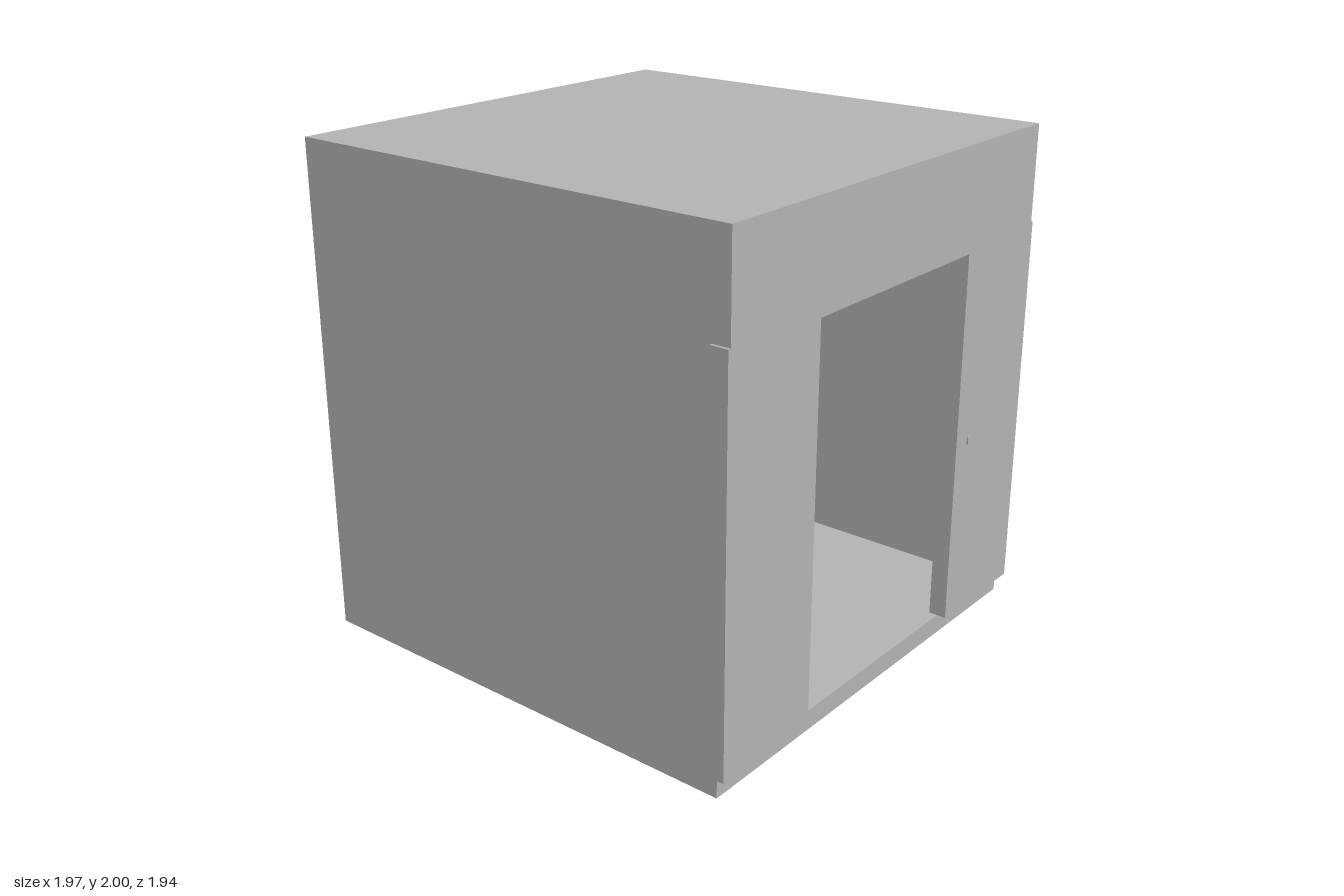
import * as THREE from 'three';

export function createModel() {
  const model = new THREE.Group();
  model.name = 'liftCabin';
  const grey = new THREE.MeshStandardMaterial({ color: 0xb2b2b2 });
  grey.name = 'plain grey';

  // Box given by its lower and upper limits on each axis
  function box(name, [x0, x1], [y0, y1], [z0, z1]) {
    const mesh = new THREE.Mesh(new THREE.BoxGeometry(x1 - x0, y1 - y0, z1 - z0), grey);
    mesh.position.set((x0 + x1) / 2, (y0 + y1) / 2, (z0 + z1) / 2);
    mesh.name = name;
    model.add(mesh);
  }

  const back = -0.985, inner = 0.905, face = 0.977;
  const half = 0.96, halfIn = 0.88;
  const floorTop = 0.08, ceiling = 1.92, doorTop = 1.615;

  // Cabin shell
  box('floor', [back, 0.94], [0, floorTop], [-half, half]);
  box('ceiling', [back, face], [ceiling, 2], [-half, half]);
  box('rearWall', [back, -0.905], [floorTop, ceiling], [-halfIn, halfIn]);

  // Header above the doorway, with a lower lip between the doors
  box('doorHeader', [inner, face], [doorTop, ceiling], [-half, half]);
  box('doorLintel', [inner, face], [1.59, doorTop], [-0.48, 0.48]);

  // Side walls and the open sliding doors
  for (const s of [-1, 1]) {
    const span = (a, b) => (s > 0 ? [a, b] : [-b, -a]);
    const side = s > 0 ? 'left' : 'right';
    box(side + 'Wall', [back, inner], [floorTop, ceiling], span(halfIn, half));
    box(side + 'Door', [inner, face], [floorTop, doorTop], span(0.48, 0.972));
  }

  // Call button beside the doorway
  box('callButton', [face, 0.982], [0.805, 0.84], [-0.58, -0.56]);

  return model;
}
